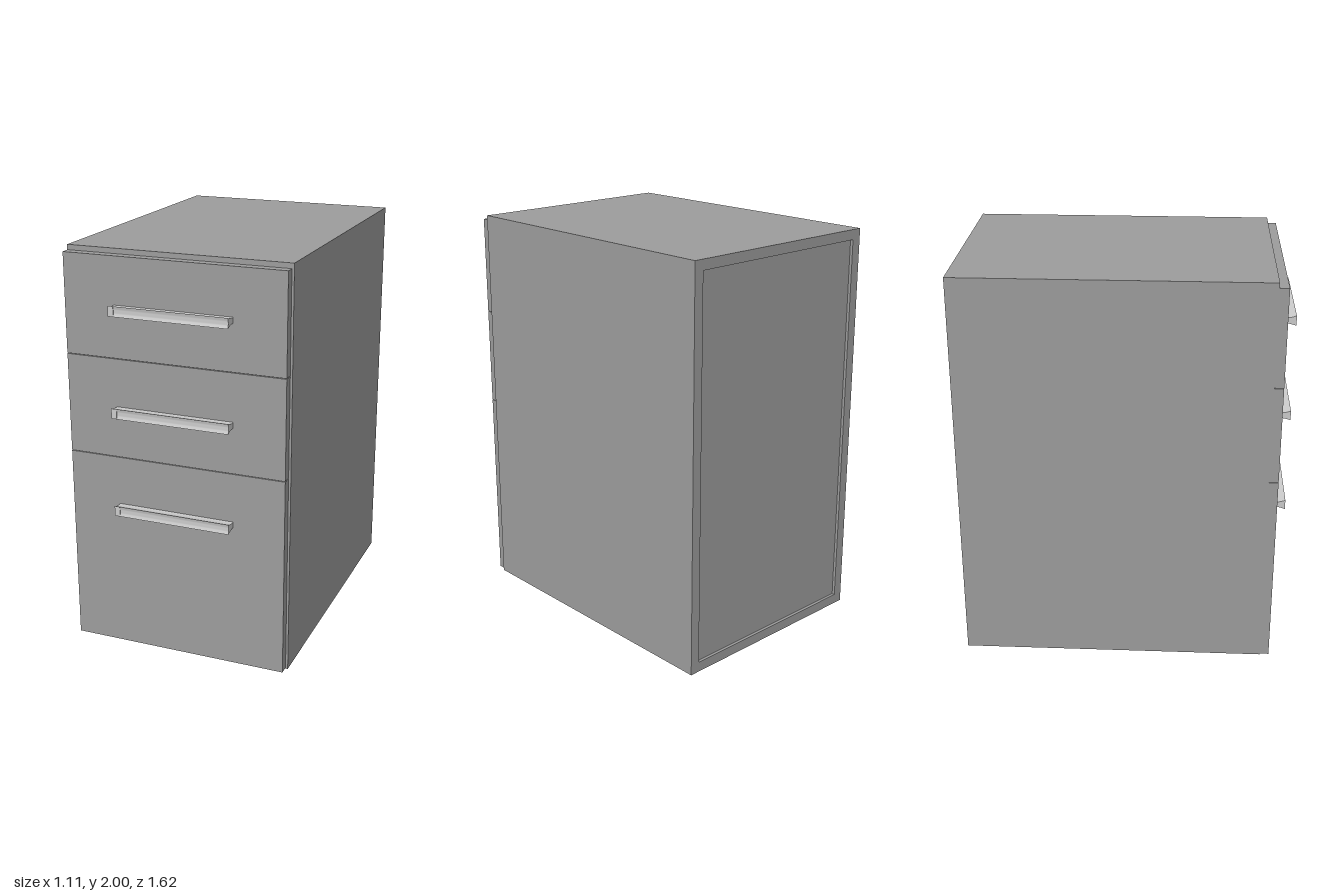
import * as THREE from 'three';
import { toCreasedNormals } from 'three/addons/utils/BufferGeometryUtils.js';

const bodyMaterial = new THREE.MeshStandardMaterial({ color: 0x9c9c9c });
const handleMaterial = new THREE.MeshStandardMaterial({ color: 0xcccccc });

// Box given by its minimum and maximum corners
function panel(name, [x0, y0, z0], [x1, y1, z1]) {
  const mesh = new THREE.Mesh(new THREE.BoxGeometry(x1 - x0, y1 - y0, z1 - z0), bodyMaterial);
  mesh.name = name;
  mesh.position.set((x0 + x1) / 2, (y0 + y1) / 2, (z0 + z1) / 2);
  return mesh;
}

// Flared profile (outward, up) swept from x0 to x1; hollow dishes its front face
function handlePiece(name, x0, x1, hollow) {
  const depth = 0.062;
  const shape = new THREE.Shape();
  shape.moveTo(0, -0.014);
  shape.quadraticCurveTo(0.03, -0.012, depth, -0.025);
  shape.quadraticCurveTo(depth - 2 * hollow, 0, depth, 0.025);
  shape.quadraticCurveTo(0.03, 0.012, 0, 0.014);
  const geometry = new THREE.ExtrudeGeometry(shape, { depth: x1 - x0, bevelEnabled: false, curveSegments: 8 });
  geometry.rotateY(-Math.PI / 2);
  geometry.translate(x1, 0, 0);
  const mesh = new THREE.Mesh(toCreasedNormals(geometry, Math.PI / 6), handleMaterial);
  mesh.name = name;
  return mesh;
}

export function createModel() {
  const cabinet = new THREE.Group();
  cabinet.name = 'drawerCabinet';
  const W = 0.555, T = 0.05, back = -0.811, front = 0.703;

  // Carcass: two sides, top, bottom and a slightly recessed back
  for (const [name, s] of [['leftSide', 1], ['rightSide', -1]]) {
    const xs = [s * W, s * (W - T)].sort((a, b) => a - b);
    cabinet.add(panel(name, [xs[0], 0, back], [xs[1], 2, front]));
  }
  cabinet.add(panel('top', [-W + T, 2 - T, back], [W - T, 2, front]));
  cabinet.add(panel('bottom', [-W + T, 0, back], [W - T, T, front]));
  cabinet.add(panel('backPanel', [-W + T, T, back + 0.015], [W - T, 2 - T, back + 0.04]));

  // Drawers: bottom, top and handle height of each front
  const drawers = [[0.004, 0.997, 0.742], [1.0, 1.488, 1.239], [1.491, 1.975, 1.732]];
  for (const [y0, y1, handleY] of drawers) {
    const drawer = new THREE.Group();
    drawer.name = 'drawer';
    drawer.add(panel('drawerFront', [-W + 0.001, y0, front], [0.544, y1, 0.749]));
    drawer.add(panel('drawerBox', [-W + T + 0.01, y0 + 0.06, back + 0.06], [W - T - 0.01, y1 - 0.06, front]));
    const handle = new THREE.Group();
    handle.name = 'handle';
    handle.add(handlePiece('handleEnd', -0.3, -0.273, 0), handlePiece('handleGrip', -0.273, 0.289, 0.005));
    handle.position.set(0, handleY, 0.749);
    drawer.add(handle);
    cabinet.add(drawer);
  }
  return cabinet;
}
